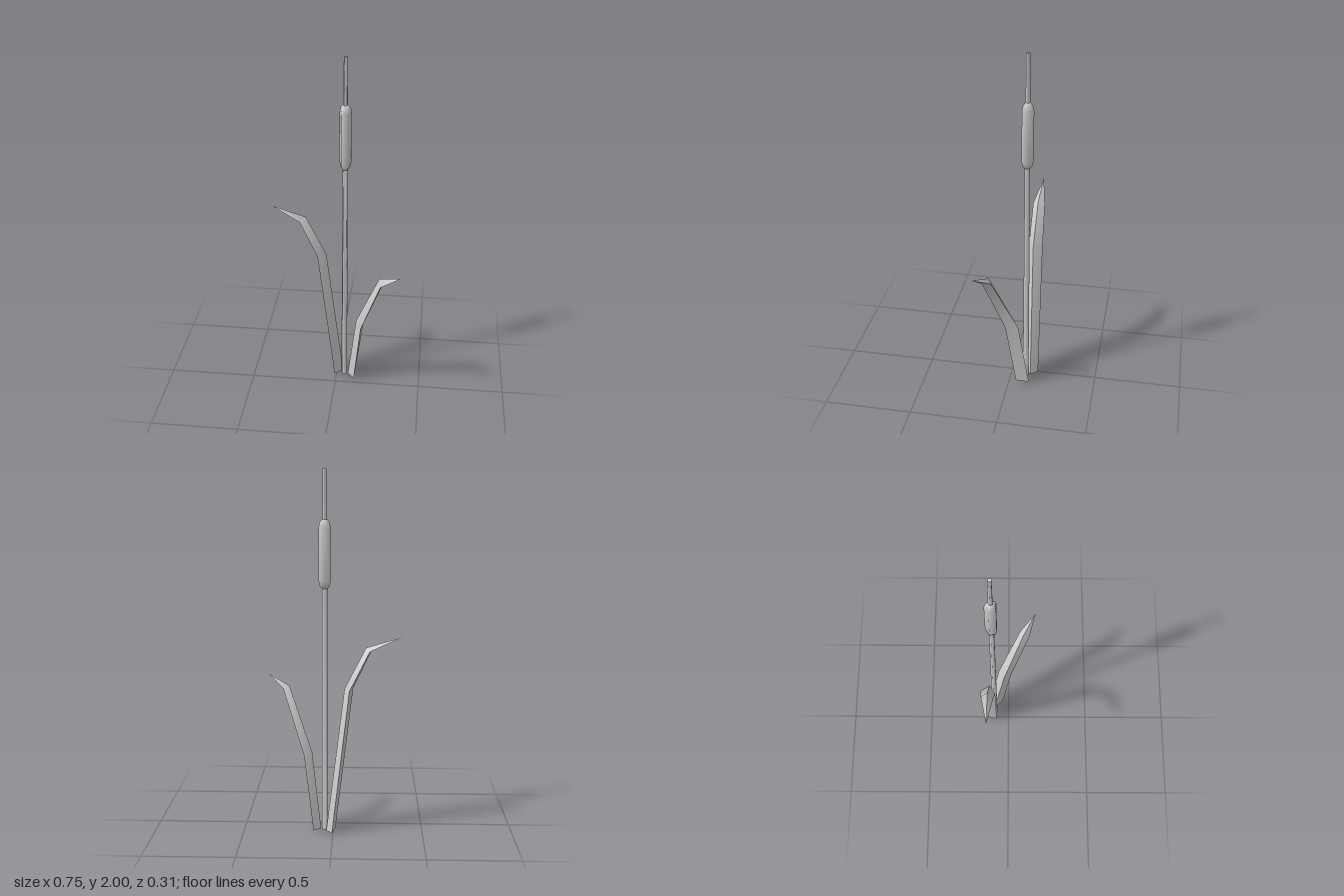
import * as THREE from 'three';
import { toCreasedNormals } from 'three/addons/utils/BufferGeometryUtils.js';

const material = new THREE.MeshStandardMaterial({ color: 0xcccccc });

// Five-sided turned part from [radius, y] pairs, one corner pointing back
function turned(name, profile) {
  const points = profile.map(([r, y]) => new THREE.Vector2(r, y));
  const geometry = toCreasedNormals(new THREE.LatheGeometry(points, 5, Math.PI), 1.3);
  const mesh = new THREE.Mesh(geometry, material);
  mesh.name = name;
  mesh.position.set(0.045, 0, -0.088);
  return mesh;
}

// Leaf with triangular cross-sections (edge, spine, edge) closing to a tip.
// Each section runs clockwise as seen from above.
function leaf(name, sections, tip) {
  const positions = [...sections.flat(2), ...tip];
  const last = sections.length - 1;
  const tipIndex = sections.length * 3;
  const index = [0, 1, 2];
  for (let s = 0; s <= last; s++) {
    for (let i = 0; i < 3; i++) {
      const a = s * 3 + i;
      const b = s * 3 + (i + 1) % 3;
      if (s < last) index.push(a, a + 3, b, b, a + 3, b + 3);
      else index.push(a, tipIndex, b);
    }
  }
  const geometry = new THREE.BufferGeometry();
  geometry.setAttribute('position', new THREE.Float32BufferAttribute(positions, 3));
  geometry.setIndex(index);
  const mesh = new THREE.Mesh(toCreasedNormals(geometry, 1.0), material);
  mesh.name = name;
  return mesh;
}

export function createModel() {
  const group = new THREE.Group();
  group.name = 'reed';

  // Slim tapering stem
  group.add(turned('stem', [[0, 0], [0.018, 0], [0.0155, 1.3], [0.0115, 2], [0, 2]]));

  // Seed head with rounded ends
  group.add(turned('seedHead', [
    [0, 1.365], [0.017, 1.368], [0.028, 1.383], [0.034, 1.41],
    [0.034, 1.695], [0.028, 1.722], [0.017, 1.737], [0, 1.74],
  ]));

  // Taller leaf, bending out to the right
  group.add(leaf('rightLeaf', [
    [[0.005, 0, -0.157], [0.038, 0, -0.115], [-0.012, 0, -0.077]],
    [[-0.09, 0.815, -0.158], [-0.063, 0.82, -0.108], [-0.11, 0.815, -0.076]],
    [[-0.2, 1.035, -0.151], [-0.18, 1.05, -0.115], [-0.21, 1.03, -0.083]],
  ], [-0.375, 1.11, -0.118]));

  // Shorter leaf, bending out to the front left
  group.add(leaf('leftLeaf', [
    [[0.108, 0, -0.04], [0.068, 0, -0.09], [0.11, 0, -0.118]],
    [[0.15, 0.4, 0.015], [0.12, 0.43, -0.028], [0.164, 0.42, -0.062]],
    [[0.264, 0.757, 0.122], [0.255, 0.79, 0.085], [0.288, 0.775, 0.066]],
  ], [0.375, 0.84, 0.155]));

  return group;
}
